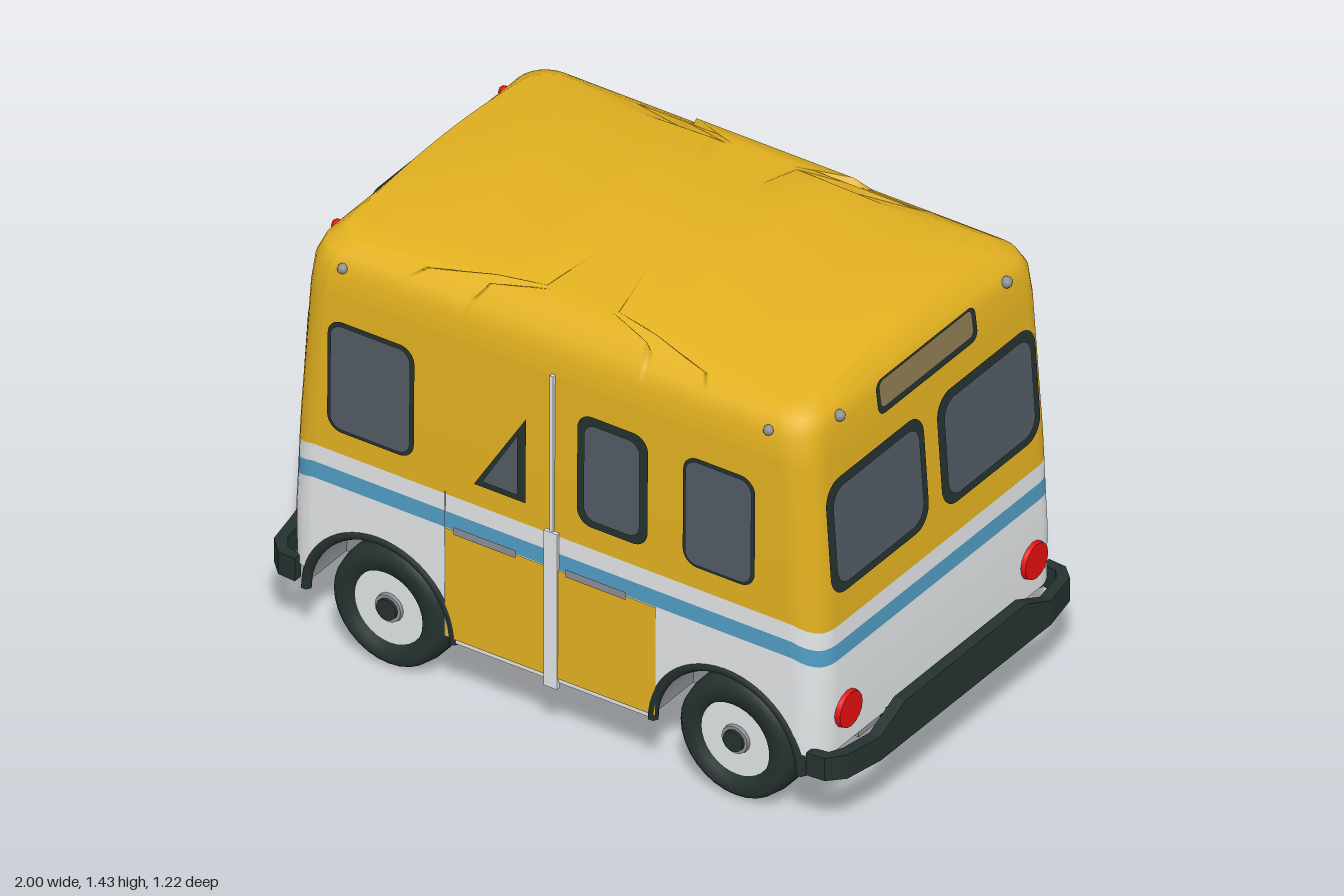
import * as THREE from 'three';

const mat = (name, color, side = THREE.FrontSide) =>
  Object.assign(new THREE.MeshStandardMaterial({ color, side }), { name });
const yellow = mat('yellowPaint', 0xe3b120, THREE.DoubleSide);
const white = mat('whitePaint', 0xe9ecee, THREE.DoubleSide);
const blue = mat('blueStripe', 0x519dc4);
const dark = mat('darkRubber', 0x25322f, THREE.DoubleSide);
const glass = mat('windowGlass', 0x525a64);
const red = mat('redLamp', 0xe60f0f);
const grey = mat('greyMetal', 0x8d8f94, THREE.DoubleSide);
const tan = mat('tanPane', 0x8c7b52);
const cream = mat('creamPanel', 0xd8d1bf);

// body half-length and half-width by height
const PROFILE = [[0.2, 0.91, 0.593], [0.45, 0.912, 0.593], [0.7, 0.903, 0.59], [1.2, 0.868, 0.585], [1.29, 0.857, 0.578]];
const ROOF = [[0.79, 0.51], [0.5, 0.47], [0.27, 0.44], [0.2, 0.2], [0.0001, 0.0001]];
const AXLE_X = 0.59, AXLE_Y = 0.195, ARCH_R = 0.262;

function halfSize(y) {
  let i = 0;
  while (i < PROFILE.length - 2 && y > PROFILE[i + 1][0]) i++;
  const [a, b] = [PROFILE[i], PROFILE[i + 1]];
  const t = (y - a[0]) / (b[0] - a[0]);
  return [a[1] + (b[1] - a[1]) * t, a[2] + (b[2] - a[2]) * t];
}

// surface through rows of points
function gridGeometry(rows) {
  const n = rows[0].length, index = [];
  for (let j = 0; j < rows.length - 1; j++)
    for (let i = 0; i < n - 1; i++) {
      const a = j * n + i, d = a + n;
      index.push(a, a + 1, d + 1, a, d + 1, d);
    }
  const g = new THREE.BufferGeometry();
  g.setAttribute('position', new THREE.Float32BufferAttribute(rows.flat(2), 3));
  g.setIndex(index);
  g.computeVertexNormals();
  return g;
}

// rounded rectangle in plan
function ring(hx, hz) {
  const r = Math.min(0.09, hx * 0.5, hz * 0.5), pts = [];
  const line = (x0, z0, x1, z1, n) => {
    for (let i = 0; i < n; i++) pts.push([x0 + (x1 - x0) * i / n, z0 + (z1 - z0) * i / n]);
  };
  const corner = (cx, cz, start) => {
    for (let i = 0; i < 6; i++) {
      const a = start - Math.PI / 2 * i / 6;
      pts.push([cx + r * Math.cos(a), cz + r * Math.sin(a)]);
    }
  };
  const x = hx - r, z = hz - r, q = Math.PI / 2;
  line(-x, hz, x, hz, 120); corner(x, z, q);
  line(hx, z, hx, -z, 12); corner(x, -z, 0);
  line(x, -hz, -x, -hz, 120); corner(-x, -z, -q);
  line(-hx, -z, -hx, z, 12); corner(-x, z, -2 * q);
  pts.push(pts[0]);
  return pts;
}

// lower edge of the body, with wheel arches
function sill(x) {
  const d = Math.abs(x) - AXLE_X;
  if (d > ARCH_R) return 0.26;
  return Math.max(0.2, AXLE_Y + Math.sqrt(Math.max(0, ARCH_R ** 2 - d * d)));
}

// the painted bands sit a little lower across the ends
const waistDrop = x => 0.024 * THREE.MathUtils.clamp((Math.abs(x) - 0.82) / 0.07, 0, 1);
const bodyRow = y => ring(...halfSize(y)).map(([x, z]) =>
  [x, Math.max(y > 0.5 && y < 0.75 ? y - waistDrop(x) : y, sill(x)), z]);
const band = ys => gridGeometry(ys.map(bodyRow));

// cambered roof with a raised middle
const roofY = (x, z) => 1.405 - 0.17 * z * z + (Math.abs(x) < 0.28 ? 0.026 : 0);

function roundedRect(u0, u1, y0, y1, r) {
  const s = new THREE.Shape();
  s.absarc(u1 - r, y0 + r, r, -Math.PI / 2, 0);
  s.absarc(u1 - r, y1 - r, r, 0, Math.PI / 2);
  s.absarc(u0 + r, y1 - r, r, Math.PI / 2, Math.PI);
  s.absarc(u0 + r, y0 + r, r, Math.PI, Math.PI * 1.5);
  return s;
}
const polygon = pts => new THREE.Shape(pts.map(p => new THREE.Vector2(...p)));
const rect = (u0, u1, y0, y1) => polygon([[u0, y0], [u1, y0], [u1, y1], [u0, y1]]);

export function createModel() {
  const root = new THREE.Group(), van = new THREE.Group();
  root.name = 'model';
  van.name = 'van';
  van.position.z = 0.012;
  root.add(van);
  const add = (name, geometry, material, parent = van, pos = [0, 0, 0]) => {
    const m = new THREE.Mesh(geometry, material);
    m.name = name;
    m.position.set(...pos);
    parent.add(m);
    return m;
  };
  const box = (name, w, h, d, material, pos, parent) => add(name, new THREE.BoxGeometry(w, h, d), material, parent, pos);

  // thin plate laid on the body: axis 'z' for long sides, 'x' for ends
  function plate(name, shape, material, axis, s, off) {
    const g = new THREE.ShapeGeometry(shape, 5), p = g.attributes.position;
    for (let i = 0; i < p.count; i++) {
      const u = p.getX(i), y = p.getY(i), [hx, hz] = halfSize(y);
      if (axis === 'z') p.setXYZ(i, u, y, s * (hz + off));
      else p.setXYZ(i, s * (hx + off), y, u);
    }
    if ((axis === 'z') === (s < 0)) g.index.array.reverse();
    g.computeVertexNormals();
    add(name, g, material);
  }
  function windowPane(axis, s, u0, u1, y0, y1, t, r = 0.05) {
    plate('windowFrame', roundedRect(u0, u1, y0, y1, r), dark, axis, s, 0.004);
    plate('windowGlass', roundedRect(u0 + t, u1 - t, y0 + t, y1 - t, r * 0.8), glass, axis, s, 0.008);
  }

  // body shell in painted bands
  add('lowerBody', band([0.2, 0.35, 0.45, 0.577]), white);
  add('waistStripe', band([0.577, 0.631]), blue);
  add('upperWhiteBand', band([0.631, 0.688]), white);
  add('upperBody', gridGeometry([...[0.688, 0.76, 1.2, 1.29].map(bodyRow),
    ring(0.84, 0.553).map(([x, z]) => [x, 1.337, z]),
    ...ROOF.map(([hx, hz]) => ring(hx, hz).map(([x, z]) => [x, roofY(x, z), z]))]), yellow);

  // door side
  windowPane('z', 1, -0.765, -0.47, 0.762, 1.13, 0.012);
  windowPane('z', 1, 0.085, 0.325, 0.762, 1.13, 0.025);
  windowPane('z', 1, 0.445, 0.69, 0.762, 1.125, 0.01);
  plate('foldedWindowFrame', polygon([[-0.265, 0.76], [-0.09, 0.76], [-0.09, 1.04]]), dark, 'z', 1, 0.004);
  plate('foldedWindowGlass', polygon([[-0.235, 0.78], [-0.115, 0.78], [-0.115, 0.98]]), glass, 'z', 1, 0.008);
  for (const [a, b] of [[-0.36, -0.02], [0.02, 0.355]]) {
    plate('doorPanel', rect(a, b, 0.215, 0.578), yellow, 'z', 1, 0.004);
    plate('doorStrip', rect(a + 0.03, b - 0.1, 0.568, 0.593), grey, 'z', 1, 0.008);
    plate('doorSeam', rect(a - 0.004, a, 0.215, 0.7), grey, 'z', 1, 0.004);
  }
  box('doorPostLower', 0.045, 0.52, 0.012, white, [0, 0.44, 0.595]);
  box('doorPostUpper', 0.012, 0.52, 0.012, white, [0, 0.96, 0.589]);

  // far side
  windowPane('z', -1, -0.775, -0.48, 0.762, 1.13, 0.02);
  plate('windowTanCorner', polygon([[-0.5, 0.88], [-0.5, 1.08], [-0.53, 1.11], [-0.61, 1.11]]), tan, 'z', -1, 0.0095);
  plate('windowWhiteSliver', polygon([[-0.495, 0.86], [-0.535, 0.9], [-0.6, 1.06], [-0.565, 1.06]]), white, 'z', -1, 0.011);
  windowPane('z', -1, -0.345, -0.11, 0.762, 1.13, 0.025);
  plate('tanWindow', roundedRect(0.045, 0.335, 0.762, 1.13, 0.05), tan, 'z', -1, 0.004);
  plate('cutWindowFrame', polygon([[0.455, 0.765], [0.695, 0.765], [0.695, 1.125], [0.61, 1.125]]), dark, 'z', -1, 0.004);
  plate('cutWindowGlass', polygon([[0.475, 0.78], [0.685, 0.78], [0.685, 1.115], [0.615, 1.115]]), glass, 'z', -1, 0.008);
  plate('farDoorPanel', rect(-0.37, -0.06, 0.205, 0.575), yellow, 'z', -1, 0.004);
  plate('farDoorCreamPanel', polygon([[-0.06, 0.205], [0.02, 0.205], [0.36, 0.575], [-0.06, 0.575]]), cream, 'z', -1, 0.004);
  plate('farDoorStrip', rect(-0.36, 0.41, 0.572, 0.634), grey, 'z', -1, 0.006);
  plate('farDoorEdge', polygon([[0.005, 0.205], [0.025, 0.205], [0.48, 0.7], [0.46, 0.7]]), yellow, 'z', -1, 0.008);
  const sideLamp = add('sideLamp', new THREE.ConeGeometry(0.02, 0.04, 6), red, van, [0.75, 0.68, -0.602]);
  sideLamp.rotation.x = -Math.PI / 2;

  // bumper outline: outer x, z, inner x, z, top height
  const half = [[0.87, 0.585, 0.87, 0.585, 0.25], [0.87, 0.6, 0.87, 0.57, 0.285], [0.93, 0.595, 0.92, 0.56, 0.285],
    [0.975, 0.55, 0.945, 0.525, 0.29], [1, 0.42, 0.962, 0.42, 0.29], [1, 0.3, 0.962, 0.3, 0.345]];
  const sections = [...half.map(([a, b, c, d, e]) => [a, -b, c, -d, e]), ...[...half].reverse()];
  const bumperGeo = gridGeometry(sections.map(([ox, oz, ix, iz, top]) =>
    [[ox, 0.21, oz], [ox, top, oz], [ix, top, iz], [ix, 0.21, iz], [ox, 0.21, oz]])).toNonIndexed();
  bumperGeo.computeVertexNormals();

  // both ends
  for (const s of [1, -1]) {
    windowPane('x', s, 0.035, 0.518, 0.762, 1.13, 0.028, 0.07);
    windowPane('x', s, -0.515, -0.03, 0.762, 1.13, 0.028, 0.07);
    plate('signFrame', roundedRect(-0.25, 0.24, 1.215, 1.325, 0.03), dark, 'x', s, 0.004);
    plate('signPane', roundedRect(-0.228, 0.23, 1.238, 1.322, 0.02), tan, 'x', s, 0.008);
    const end = new THREE.Group();
    end.name = s > 0 ? 'rightEnd' : 'leftEnd';
    if (s < 0) end.rotation.y = Math.PI;
    van.add(end);
    add('bumper', bumperGeo, dark, end);
    for (const z of [-0.25, 0.25]) box('bumperBracket', 0.14, 0.04, 0.03, dark, [0.91, 0.25, z], end);
    for (const z of [-0.458, 0.458]) {
      const lamp = add('tailLamp', new THREE.CylinderGeometry(0.056, 0.06, 0.02, 16), red, end, [0.916, 0.375, z]);
      lamp.rotation.z = -Math.PI / 2;
      add('markerLamp', new THREE.SphereGeometry(0.018, 8, 6), s > 0 ? grey : red, end, [0.855, 1.31, z * 0.9]);
    }
  }

  // wheels, arches and wells
  const tyreGeo = new THREE.LatheGeometry([[0.11, -0.08], [0.17, -0.085], [0.187, -0.07], [0.194, -0.03], [0.194, 0.03],
    [0.187, 0.07], [0.17, 0.085], [0.125, 0.085], [0.115, 0.05]].map(p => new THREE.Vector2(...p)), 32);
  for (const sx of [1, -1]) for (const sz of [1, -1]) {
    const wheel = new THREE.Group();
    wheel.name = 'wheel';
    wheel.position.set(sx * AXLE_X, AXLE_Y, sz * 0.472);
    wheel.rotation.x = sz * Math.PI / 2;
    van.add(wheel);
    add('tyre', tyreGeo, dark, wheel);
    add('rim', new THREE.CylinderGeometry(0.122, 0.122, 0.13, 24), white, wheel);
    add('hubRing', new THREE.CylinderGeometry(0.044, 0.048, 0.02, 16), grey, wheel, [0, 0.066, 0]);
    add('hubCap', new THREE.CylinderGeometry(0.034, 0.036, 0.03, 12), dark, wheel, [0, 0.07, 0]);
    add('archTrim', new THREE.TorusGeometry(ARCH_R - 0.01, 0.017, 6, 28, Math.PI), dark, van,
      [sx * AXLE_X, AXLE_Y, sz * 0.583]);
    const liner = add('wheelWell', new THREE.CylinderGeometry(ARCH_R, ARCH_R, 0.22, 24, 1, true, Math.PI / 2, Math.PI),
      grey, van, [sx * AXLE_X, AXLE_Y, sz * 0.475]);
    liner.rotation.x = Math.PI / 2;
    add('wellWall', new THREE.CircleGeometry(ARCH_R, 24, 0, Math.PI), grey, van, [sx * AXLE_X, AXLE_Y, sz * 0.372]);
    add('cornerMarker', new THREE.SphereGeometry(0.016, 8, 6), grey, van, [sx * 0.725, 1.3, sz * 0.575]);
  }

  // underside
  box('floor', 1.78, 0.05, 0.74, grey, [0, 0.245, 0]);
  box('middleFloor', 0.65, 0.04, 1.165, grey, [0, 0.32, 0]);
  box('centrePan', 1.0, 0.03, 0.4, dark, [0, 0.215, 0]);
  for (const s of [1, -1]) {
    box('endFloor', 0.04, 0.03, 1.05, grey, [s * 0.872, 0.275, 0]);
    box('chassisRail', 1.7, 0.05, 0.04, dark, [0, 0.205, s * 0.15]);
    const axle = add('axle', new THREE.CylinderGeometry(0.028, 0.028, 0.85, 12), grey, van, [s * AXLE_X, 0.19, 0]);
    axle.rotation.x = Math.PI / 2;
    add('differential', new THREE.SphereGeometry(0.065, 14, 10), grey, van, [s * AXLE_X, 0.195, 0]).scale.z = 1.5;
    for (const z of [-0.25, 0.25]) box('leafSpring', 0.45, 0.025, 0.03, dark, [s * AXLE_X, 0.18, z]);
  }
  return root;
}
